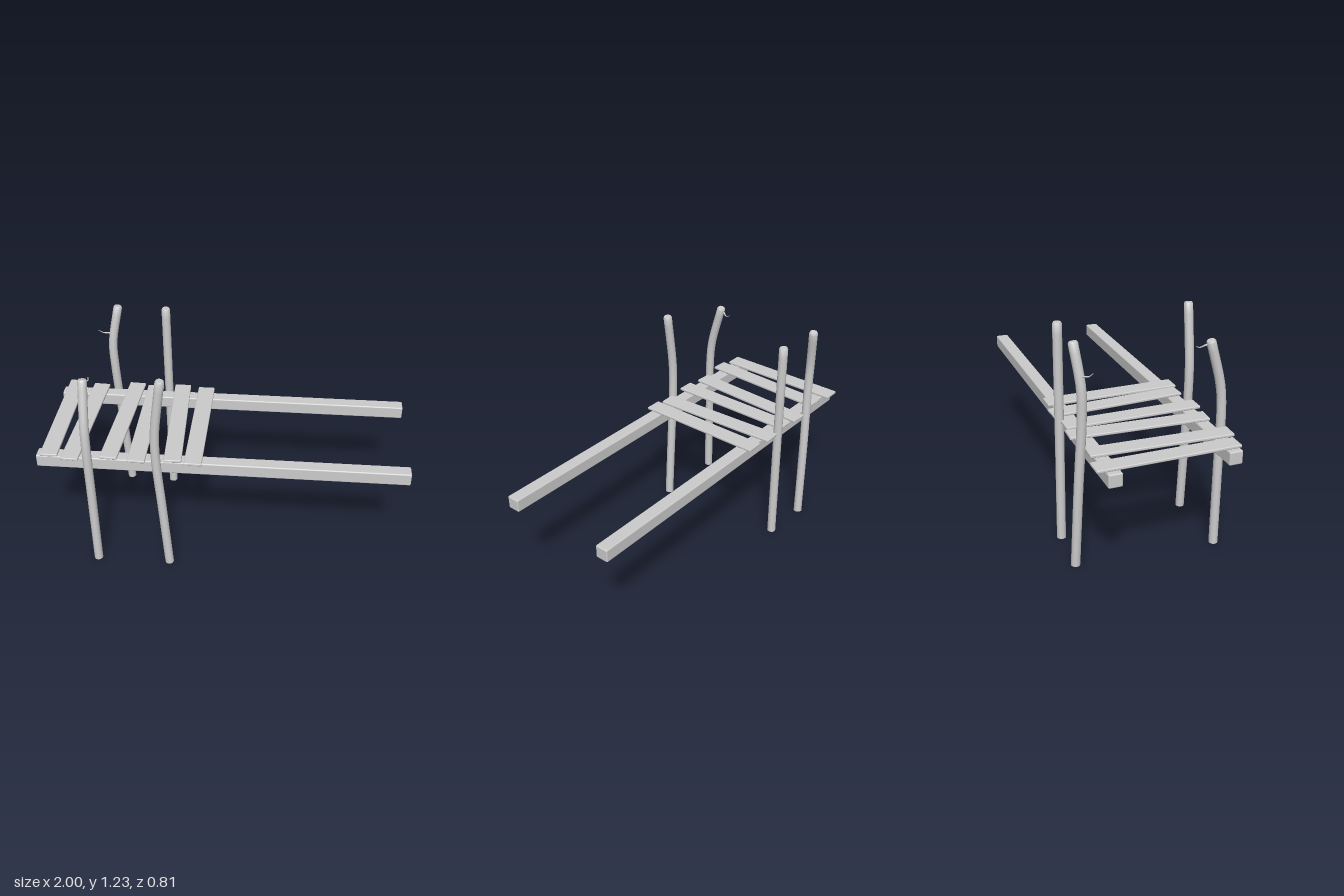
import * as THREE from 'three';
import { toCreasedNormals } from 'three/addons/utils/BufferGeometryUtils.js';
import { RoundedBoxGeometry } from 'three/addons/geometries/RoundedBoxGeometry.js';

const material = new THREE.MeshStandardMaterial({ color: 0xcccccc });

// Capped round limb swept along a smooth path, with a worn top edge and optional taper
function limb(path, r0, r1, sides, ref) {
  const curve = new THREE.CatmullRomCurve3(path.map(p => new THREE.Vector3(...p)));
  const profile = [new THREE.Vector2(0, 0)];
  const steps = 24;
  for (let i = 0; i <= steps; i++) {
    const t = (i / steps) * 0.993;
    profile.push(new THREE.Vector2(r0 + (r1 - r0) * t, t));
  }
  profile.push(new THREE.Vector2(r1 * 0.8, 1), new THREE.Vector2(0, 1));
  const geo = new THREE.LatheGeometry(profile, sides);
  const pos = geo.attributes.position;
  for (let i = 0; i < pos.count; i++) {
    const t = THREE.MathUtils.clamp(pos.getY(i), 0, 1);
    const tangent = curve.getTangentAt(t);
    const n = ref.clone().addScaledVector(tangent, -ref.dot(tangent)).normalize();
    const b = n.clone().cross(tangent);
    const p = curve.getPointAt(t).addScaledVector(n, pos.getX(i)).addScaledVector(b, pos.getZ(i));
    pos.setXYZ(i, p.x, Math.max(0, p.y), p.z);
  }
  return toCreasedNormals(geo, 0.6);
}

export function createModel() {
  const model = new THREE.Group();
  const add = (name, geo) => {
    const mesh = new THREE.Mesh(geo, material);
    mesh.name = name;
    model.add(mesh);
    return mesh;
  };

  // Two long squared beams
  for (const [name, z] of [['frontBeam', 0.32], ['backBeam', -0.299]]) {
    add(name, new RoundedBoxGeometry(2, 0.072, 0.072, 2, 0.007)).position.set(0, 0.66, z);
  }

  // Loose cross planks: x at the back end, x at the front end, centre z
  const planks = [
    [-0.928, -0.928, -0.01], [-0.777, -0.81, 0.017], [-0.565, -0.606, -0.01],
    [-0.453, -0.453, 0.008], [-0.293, -0.259, -0.01], [-0.15, -0.15, 0.008],
  ];
  for (const [xBack, xFront, z] of planks) {
    const plank = add('plank', new RoundedBoxGeometry(0.095, 0.016, 0.745, 2, 0.005));
    plank.position.set((xBack + xFront) / 2, 0.706, z);
    plank.rotation.y = Math.atan2(xFront - xBack, 0.74);
  }

  // Rough poles beside the beams
  const poles = {
    frontRightPole: [[-0.71, 0, 0.385], [-0.71, 0.45, 0.385], [-0.71, 0.8, 0.385],
      [-0.71, 0.92, 0.372], [-0.71, 1.163, 0.306]],
    frontLeftPole: [[-0.297, 0, 0.385], [-0.322, 0.4, 0.385], [-0.343, 0.74, 0.385],
      [-0.341, 0.9, 0.385], [-0.299, 1.226, 0.385]],
    backRightPole: [[-0.647, 0, -0.377], [-0.67, 0.45, -0.365], [-0.689, 0.85, -0.351],
      [-0.69, 1.0, -0.353], [-0.65, 1.225, -0.378]],
    backLeftPole: [[-0.375, 0, -0.363], [-0.375, 0.6, -0.362], [-0.375, 1.23, -0.363]],
  };
  const xAxis = new THREE.Vector3(1, 0, 0);
  for (const [name, path] of Object.entries(poles)) add(name, limb(path, 0.0245, 0.0245, 20, xAxis));

  // Thin twigs left on two of the poles
  const yAxis = new THREE.Vector3(0, 1, 0);
  add('frontTwig', limb([[-0.71, 1.143, 0.3], [-0.703, 1.137, 0.28], [-0.694, 1.126, 0.258],
    [-0.697, 1.133, 0.235]], 0.006, 0.0015, 8, yAxis));
  add('backTwig', limb([[-0.688, 1.06, -0.357], [-0.715, 1.068, -0.342], [-0.738, 1.076, -0.332],
    [-0.758, 1.097, -0.316]], 0.006, 0.0015, 8, yAxis));

  return model;
}
